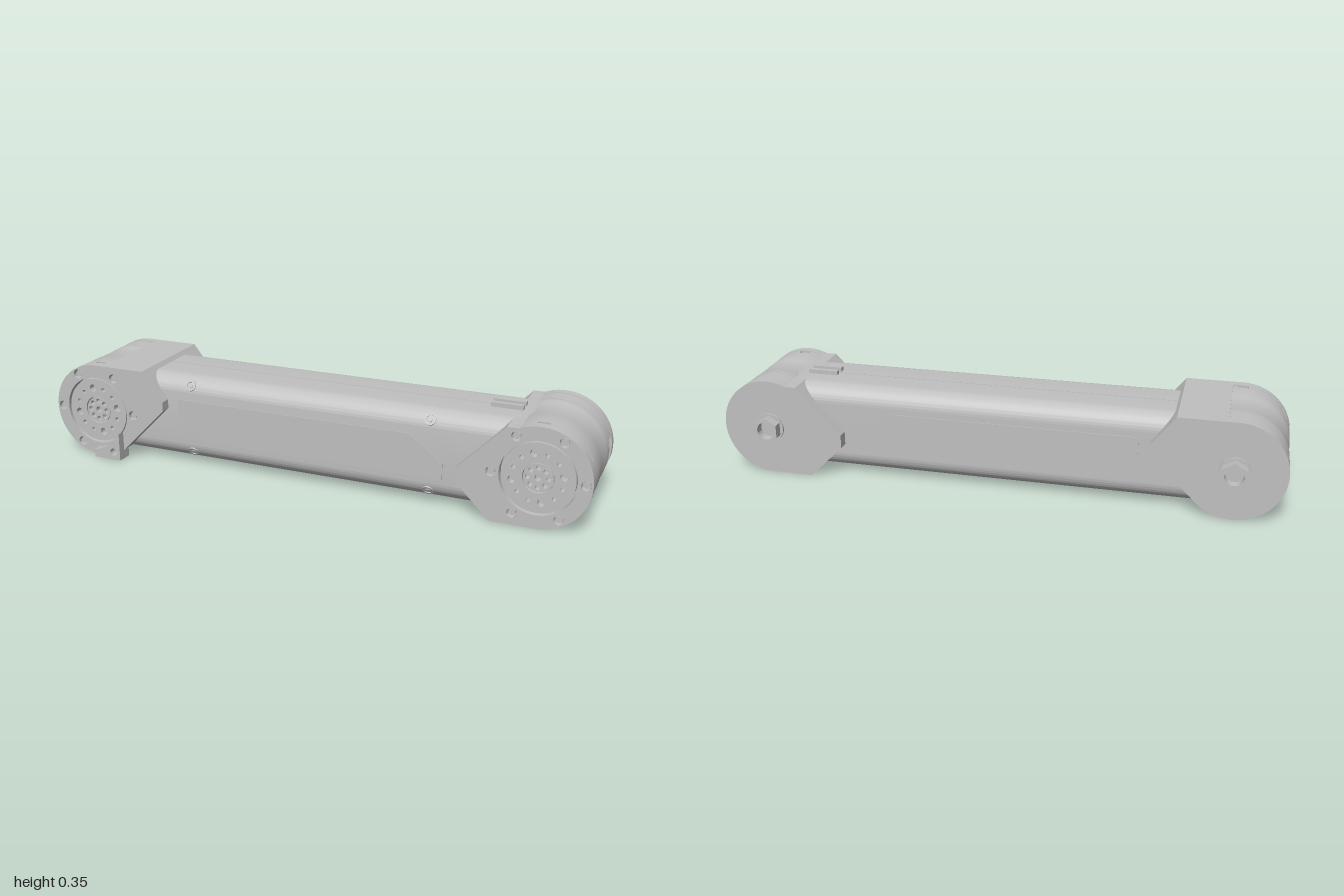
import * as THREE from 'three';
import { toCreasedNormals } from 'three/addons/utils/BufferGeometryUtils.js';

const grey = new THREE.MeshStandardMaterial({ color: 0xc0c0c0 });
grey.name = 'machined grey';

const R = 0.175; // joint radius, also the height of the joint axis
const AXIS_X = 0.825;

function add(parent, name, geometry) {
  const mesh = new THREE.Mesh(geometry, grey);
  mesh.name = name;
  parent.add(mesh);
  return mesh;
}

// Extrude a shape between two depths, keeping arcs smooth and edges sharp
function slab(shape, z0, z1) {
  const g = new THREE.ExtrudeGeometry(shape, { depth: z1 - z0, bevelEnabled: false, curveSegments: 32 });
  g.translate(0, 0, z0);
  return toCreasedNormals(g, 0.5);
}

function disc(radius, z0, z1, x = 0, y = 0, sides = 32) {
  const g = new THREE.CylinderGeometry(radius, radius, z1 - z0, sides);
  g.rotateX(Math.PI / 2);
  g.translate(x, y, (z0 + z1) / 2);
  return toCreasedNormals(g, 0.6);
}

const polygon = (pts) => new THREE.Shape(pts.map(([x, y]) => new THREE.Vector2(x, y)));
const hole = (x, y, r) => new THREE.Path().absarc(x, y, r, 0, Math.PI * 2, true);

// Evenly spaced points on a circle
function ring(count, radius, start = 0) {
  return Array.from({ length: count }, (_, i) => {
    const a = start + (i / count) * Math.PI * 2;
    return [radius * Math.cos(a), radius * Math.sin(a)];
  });
}

// Part of a ring between two angles
function sector(r0, r1, a0, a1) {
  const s = new THREE.Shape();
  s.absarc(0, 0, r1, a0, a1, false);
  s.absarc(0, 0, r0, a1, a0, true);
  return s;
}

// Round housing outline running out to a blunt point on the inner side
function housingOutline(inner) {
  const s = new THREE.Shape();
  s.moveTo(inner[0][0], inner[0][1]);
  s.lineTo(0, -R);
  s.absarc(0, 0, R, -Math.PI / 2, 1.988, false);
  for (const i of [3, 2, 1]) s.lineTo(inner[i][0], inner[i][1]);
  s.closePath();
  return s;
}

function joint(name, inner) {
  const g = new THREE.Group();
  g.name = name;

  // Round body with seam grooves
  const profile = [
    [0.001, -0.16], [0.16, -0.16], [0.16, -0.11], [0.174, -0.11], [0.174, -0.092], [0.171, -0.092],
    [0.171, -0.089], [0.174, -0.089], [0.174, -0.06], [0.1725, -0.055], [0.1725, 0.055], [0.174, 0.06],
    [0.174, 0.148], [0.16, 0.148], [0.16, 0.168], [0.001, 0.168],
  ].map(([x, y]) => new THREE.Vector2(x, y));
  const barrel = new THREE.LatheGeometry(profile, 64);
  barrel.rotateX(Math.PI / 2);
  add(g, 'jointBarrel', toCreasedNormals(barrel, 0.5));

  // Rim pieces leaving small notches, and a rear band leaving a window
  for (let i = 0; i < 6; i++) {
    const a = (i * Math.PI) / 3;
    add(g, 'rimSegment', slab(sector(0.155, 0.174, a - 0.41, a + 0.41), 0.147, 0.165));
  }
  add(g, 'rearBand', slab(sector(0.155, 0.174, 0.26, Math.PI * 2 - 0.26), -0.155, -0.109));

  // Solid block joining the barrel to the tube
  add(g, 'innerBlock', slab(polygon([[-0.035, -R], [-0.035, 0.165], [-0.071, 0.16], inner[3], inner[2], inner[1], inner[0]]), -0.157, 0.166));

  // Front plate with bore and screw holes
  const front = housingOutline(inner);
  const screws = ring(6, 0.153);
  front.holes.push(hole(0, 0, 0.127), ...screws.map(([x, y]) => hole(x, y, 0.017)));
  add(g, 'frontPlate', slab(front, 0.166, 0.2));
  for (const [x, y] of screws) add(g, 'plateScrew', disc(0.012, 0.16, 0.192, x, y, 12));

  // Output flange
  const flange = new THREE.Shape().absarc(0, 0, 0.121, 0, Math.PI * 2, false);
  ring(12, 0.085, 0.2).forEach(([x, y], i) => flange.holes.push(hole(x, y, i % 3 ? 0.008 : 0.014)));
  flange.holes.push(hole(0, 0, 0.052));
  add(g, 'outputFlange', slab(flange, 0.166, 0.195));
  const hub = new THREE.Shape().absarc(0, 0, 0.049, 0, Math.PI * 2, false);
  for (const [x, y] of ring(8, 0.034)) hub.holes.push(hole(x, y, 0.009));
  hub.holes.push(hole(0, 0, 0.012));
  add(g, 'flangeHub', slab(hub, 0.166, 0.192));

  // Back plate with hollow hexagonal fitting
  add(g, 'backPlate', slab(housingOutline(inner), -0.19, -0.157));
  add(g, 'backWasher', disc(0.053, -0.197, -0.189));
  const nut = polygon(ring(6, 0.047, Math.PI / 6));
  nut.holes.push(hole(0, 0, 0.032));
  add(g, 'backFitting', slab(nut, -0.23, -0.196));
  return g;
}

export function createModel() {
  const model = new THREE.Group();
  model.name = 'armLink';

  // Two end joints, the second turned half round
  const left = joint('leftJoint', [[-0.15, -R], [-0.27, -0.055], [-0.27, -0.008], [-0.108, 0.16]]);
  left.position.set(AXIS_X, R, 0);
  const right = joint('rightJoint', [[-0.2, -R], [-0.282, -0.069], [-0.282, -0.035], [-0.108, 0.1395]]);
  right.position.set(-AXIS_X, R, 0);
  right.rotation.z = Math.PI;
  model.add(left, right);

  // Tube in two rounded halves with a fine seam
  const y0 = 0.02, y1 = 0.335, r = 0.065, len = 1.5;
  for (const side of [1, -1]) {
    const w = side > 0 ? 0.16 : 0.15;
    const s = new THREE.Shape();
    s.moveTo(0.0015, y1);
    s.lineTo(0.0015, y0);
    s.absarc(w - r, y0 + r, r, -Math.PI / 2, 0, false);
    s.absarc(w - r, y1 - r, r, 0, Math.PI / 2, false);
    s.closePath();
    const g = slab(s, -len / 2, len / 2);
    g.rotateY((-side * Math.PI) / 2);
    add(model, side > 0 ? 'tubeFrontHalf' : 'tubeBackHalf', g);
  }
  add(model, 'tubeCore', new THREE.BoxGeometry(1.45, 0.309, 0.1)).position.y = 0.1775;

  // Thin cover panels on the front and back of the tube
  const panel = polygon([[-0.5, 0.25], [-0.5, 0.19], [-0.38, 0.1], [0.5, 0.1], [0.5, 0.16], [0.38, 0.25]]);
  add(model, 'frontPanel', slab(panel, 0.157, 0.163));
  add(model, 'backPanel', slab(panel, -0.153, -0.147));

  // Screws seated on the rounded front edges of the tube
  for (const x of [-0.45, 0.45]) {
    for (const side of [1, -1]) {
      const screw = new THREE.Group();
      screw.name = 'tubeScrew';
      const collar = new THREE.Shape().absarc(0, 0, 0.02, 0, Math.PI * 2, false);
      collar.holes.push(hole(0, 0, 0.013));
      add(screw, 'screwCollar', slab(collar, -0.01, 0.002));
      add(screw, 'screwHead', disc(0.009, -0.01, 0.002, 0, 0, 6));
      screw.position.set(x, 0.1775 + side * 0.1275, 0.15);
      screw.rotation.x = -side * 0.57;
      model.add(screw);
    }
  }

  // Pair of clip rails on top of the tube
  for (const z of [-0.021, 0.021]) {
    add(model, 'clipRail', new THREE.BoxGeometry(0.11, 0.025, 0.018)).position.set(0.675, 0.3375, z);
  }

  // Corner lug on the front of one joint
  const lug = new THREE.Shape();
  lug.moveTo(-0.83, 0);
  lug.lineTo(-0.72, 0);
  lug.lineTo(-0.72, 0.105);
  lug.quadraticCurveTo(-0.755, 0.045, -0.83, 0.03);
  lug.closePath();
  lug.holes.push(hole(-0.747, 0.03, 0.014));
  add(model, 'cornerLug', slab(lug, 0.17, 0.23));
  return model;
}
